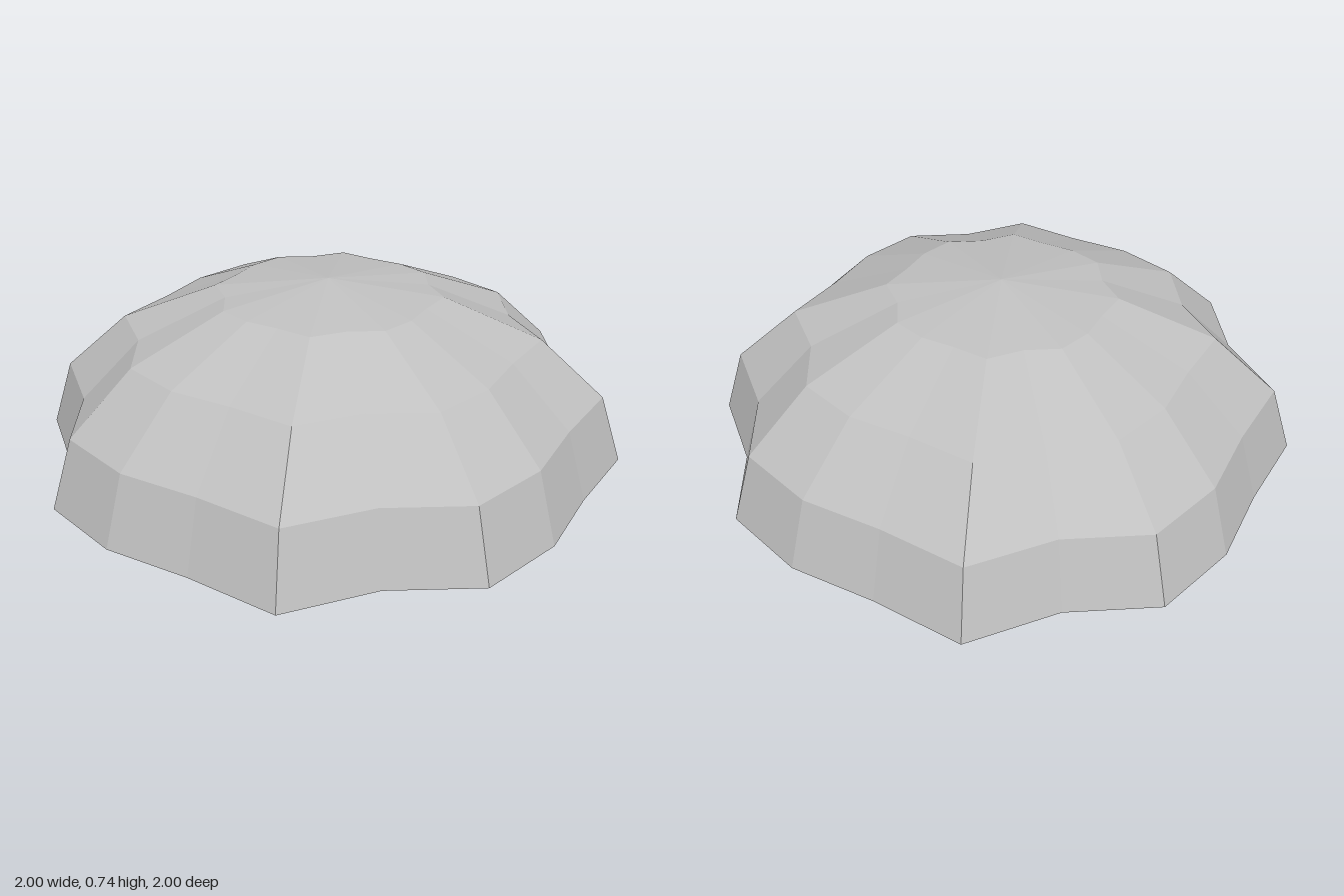
import * as THREE from 'three';

const SEGMENTS = 20, RINGS = 4; // low-poly facets around and per half
const RIM_Y = 0.1;              // height of the widest edge
const LOBES = 8, WAVE = 0.06;   // scalloped outline

// Half of a faceted sphere, squashed to a height and rippled around its axis
function scallopedHalf(name, upper, height, material) {
  const start = upper ? 0 : Math.PI / 2;
  const sphere = new THREE.SphereGeometry(1, SEGMENTS, RINGS, 0, Math.PI * 2, start, Math.PI / 2);
  const p = sphere.attributes.position;
  for (let i = 0; i < p.count; i++) {
    const x = p.getX(i), z = p.getZ(i);
    const ripple = 1 + WAVE * Math.sin(LOBES * Math.atan2(z, x));
    p.setXYZ(i, x * ripple, RIM_Y + p.getY(i) * height, z * ripple);
  }
  // Separate faces so every facet is shaded flat
  const geometry = sphere.toNonIndexed();
  geometry.computeVertexNormals();
  const mesh = new THREE.Mesh(geometry, material);
  mesh.name = name;
  return mesh;
}

export function createModel() {
  const group = new THREE.Group();
  group.name = 'scallopedDome';
  const grey = new THREE.MeshStandardMaterial({ color: 0xc0c0c0 });
  grey.name = 'light grey';

  // Tall dome on top, shallow bowl beneath
  group.add(scallopedHalf('dome', true, 0.64, grey));
  group.add(scallopedHalf('underside', false, RIM_Y, grey));
  return group;
}
